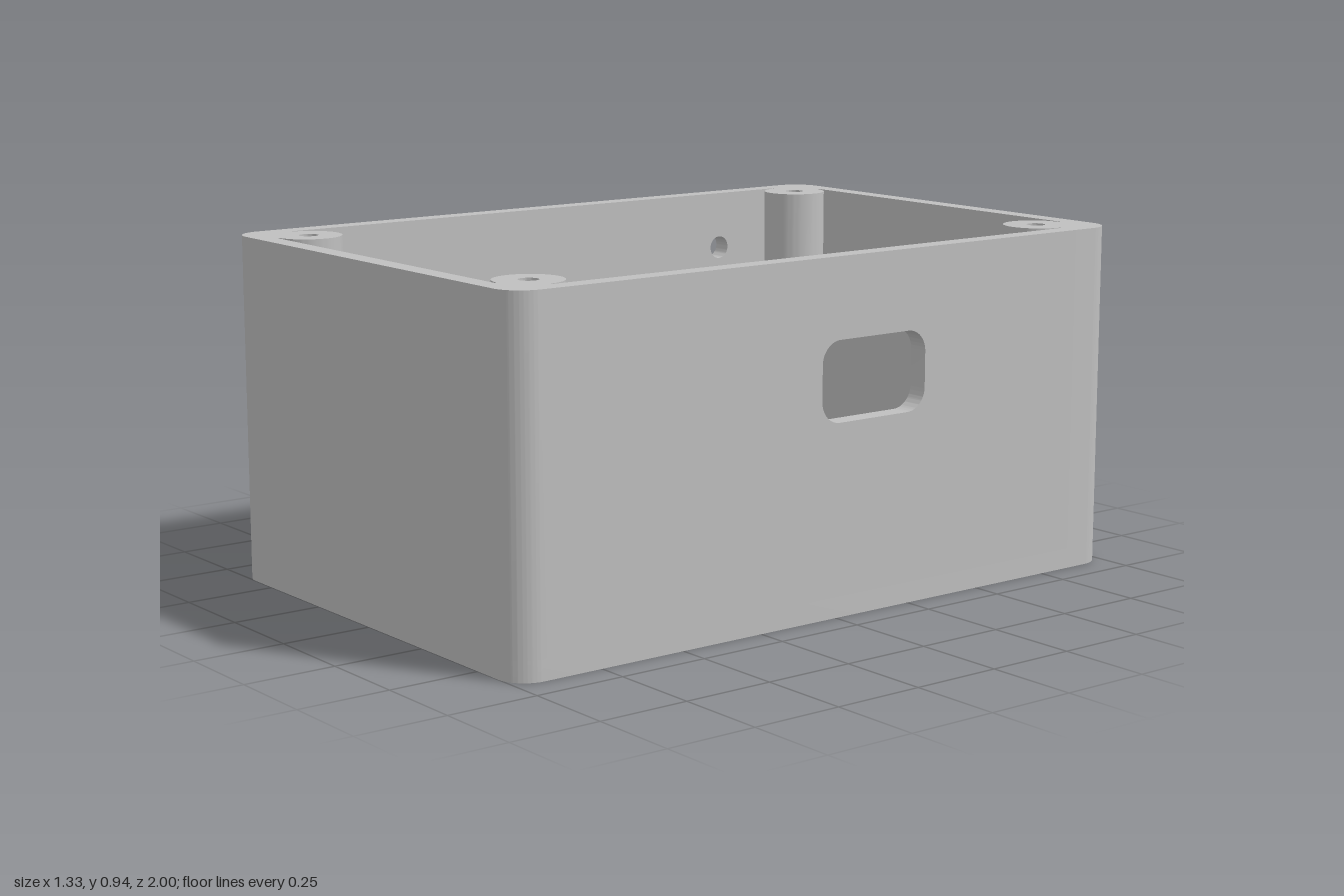
import * as THREE from 'three';
import { toCreasedNormals } from 'three/addons/utils/BufferGeometryUtils.js';

const HX = 0.667, HZ = 1, H = 0.945;        // outer half sizes and height
const IX = 0.613, IZ = 0.947, FLOOR = 0.055; // inner half sizes, floor thickness
const CORNER = 0.08;
const PX = 0.515, PZ = 0.85, PR = 0.09;      // screw post centre and radius

export function createModel() {
  const group = new THREE.Group();
  const plastic = new THREE.MeshStandardMaterial({ color: 0xbfbfbf });
  plastic.name = 'grey plastic';

  const add = (name, geometry) => {
    const mesh = new THREE.Mesh(toCreasedNormals(geometry, 0.5), plastic);
    mesh.name = name;
    group.add(mesh);
    return mesh;
  };
  const extrude = (shape, depth) =>
    new THREE.ExtrudeGeometry(shape, { depth, bevelEnabled: false, curveSegments: 24 });
  const circle = (x, y, r) => new THREE.Path().absarc(x, y, r, 0, Math.PI * 2, true);
  const roundedRect = (path, x0, y0, x1, y1, r) => {
    path.moveTo(x0 + r, y0);
    path.lineTo(x1 - r, y0);
    path.absarc(x1 - r, y0 + r, r, -Math.PI / 2, 0, false);
    path.lineTo(x1, y1 - r);
    path.absarc(x1 - r, y1 - r, r, 0, Math.PI / 2, false);
    path.lineTo(x0 + r, y1);
    path.absarc(x0 + r, y1 - r, r, Math.PI / 2, Math.PI, false);
    path.lineTo(x0, y0 + r);
    path.absarc(x0 + r, y0 + r, r, Math.PI, Math.PI * 1.5, false);
    return path;
  };

  // Floor with two round recesses
  const mounts = [-0.795, 0.667];
  const floor = roundedRect(new THREE.Shape(), -HX, -HZ, HX, HZ, CORNER);
  mounts.forEach((z) => floor.holes.push(circle(0, -z, 0.14)));
  add('floor', extrude(floor, FLOOR).rotateX(-Math.PI / 2));

  // Hollow mounting bosses above the recesses
  const bossProfile = [
    [0.166, FLOOR], [0.166, 0.125], [0.05, 0.125], [0.05, 0.072], [0.14, 0.072], [0.14, FLOOR],
  ].map(([r, y]) => new THREE.Vector2(r, y));
  mounts.forEach((z) => {
    add('mountingBoss', new THREE.LatheGeometry(bossProfile, 48)).position.z = z;
  });

  // End walls, each with rounded corners and two screw posts
  const end = new THREE.Shape();
  end.moveTo(HX, PZ);
  end.lineTo(HX, HZ - CORNER);
  end.absarc(HX - CORNER, HZ - CORNER, CORNER, 0, Math.PI / 2, false);
  end.lineTo(-HX + CORNER, HZ);
  end.absarc(-HX + CORNER, HZ - CORNER, CORNER, Math.PI / 2, Math.PI, false);
  end.lineTo(-HX, PZ);
  end.lineTo(-PX - PR, PZ);
  end.absarc(-PX, PZ, PR, Math.PI, Math.PI * 2.5, false);
  end.lineTo(-PX, IZ);
  end.lineTo(PX, IZ);
  end.lineTo(PX, PZ + PR);
  end.absarc(PX, PZ, PR, Math.PI / 2, Math.PI * 2, false);
  end.lineTo(HX, PZ);
  [-PX, PX].forEach((x) => end.holes.push(circle(x, PZ, 0.026)));
  ['backWall', 'frontWall'].forEach((name, i) => {
    const wall = add(name, extrude(end, H - FLOOR).rotateX(-Math.PI / 2));
    wall.position.y = FLOOR;
    wall.rotation.y = i * Math.PI;
  });

  // Side walls, drawn in z and y, with their openings
  const sideWall = (name, x, holes) => {
    const shape = new THREE.Shape();
    shape.moveTo(-PZ, FLOOR);
    shape.lineTo(PZ, FLOOR);
    shape.lineTo(PZ, H);
    shape.lineTo(-PZ, H);
    shape.closePath();
    shape.holes.push(...holes);
    add(name, extrude(shape, HX - IX).rotateY(-Math.PI / 2)).position.x = x;
  };
  sideWall('leftWall', HX, [roundedRect(new THREE.Path(), -0.3, 0.515, 0.053, 0.73, 0.06)]);
  const slot = new THREE.Path([
    [-0.68, 0.485], [-0.59, 0.485], [-0.59, 0.665], [-0.68, 0.665], [-0.68, 0.485],
  ].map(([z, y]) => new THREE.Vector2(z, y)));
  sideWall('rightWall', -IX, [slot, circle(-0.635, 0.78, 0.033), circle(-0.635, 0.37, 0.033)]);

  // Support rails along both sides
  [-1, 1].forEach((side) => {
    const rail = add('supportRail', new THREE.BoxGeometry(0.085, 0.2, 0.855));
    rail.position.set(side * (IX - 0.0425), FLOOR + 0.1, -0.1275);
  });

  return group;
}
